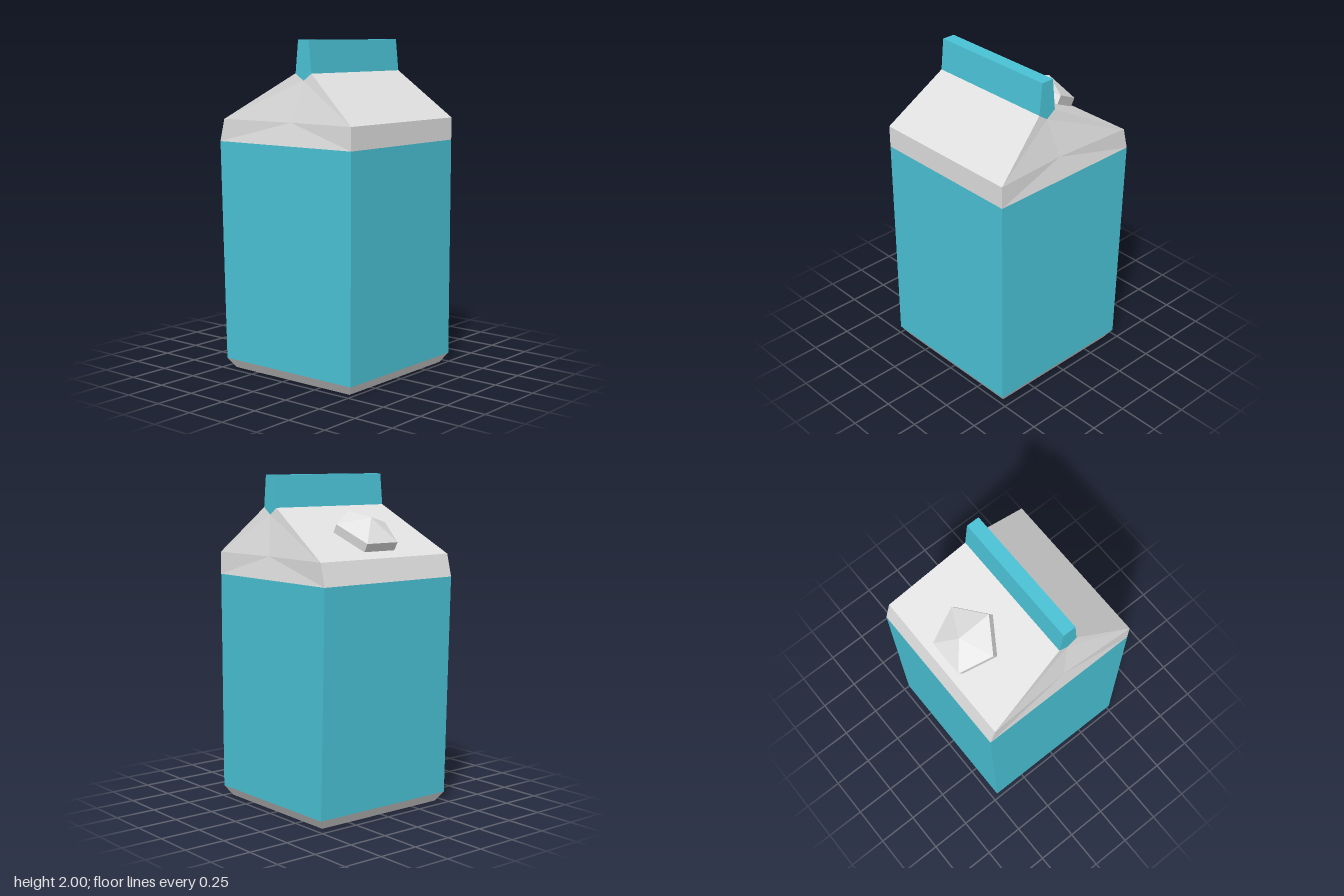
import * as THREE from 'three';

const white = new THREE.MeshStandardMaterial({ name: 'white card', color: 0xe0e0e0 });
const teal = new THREE.MeshStandardMaterial({ name: 'teal print', color: 0x4ac2d6 });

// Flat-faced mesh from convex polygons, corners counter-clockwise from outside
function facetMesh(name, material, faces) {
  const pos = [];
  for (const f of faces)
    for (let i = 1; i < f.length - 1; i++) pos.push(...f[0], ...f[i], ...f[i + 1]);
  const geo = new THREE.BufferGeometry();
  geo.setAttribute('position', new THREE.Float32BufferAttribute(pos, 3));
  geo.computeVertexNormals();
  const mesh = new THREE.Mesh(geo, material);
  mesh.name = name;
  return mesh;
}

// Rectangular cross-section and the four walls between two of them
const ring = (x, y, front, back) => [[x, y, front], [x, y, back], [-x, y, back], [-x, y, front]];
const walls = (a, b) => a.map((p, i) => [p, a[(i + 1) % 4], b[(i + 1) % 4], b[i]]);

// Adds the same faces on the opposite side
const mirrorX = (faces) =>
  faces.concat(faces.map((f) => f.map(([x, y, z]) => [-x, y, z]).reverse()));

export function createModel() {
  const carton = new THREE.Group();
  carton.name = 'carton';

  const foot = ring(0.445, 0, 0.465, -0.43);
  const low = ring(0.485, 0.06, 0.505, -0.47);
  const high = ring(0.485, 1.395, 0.505, -0.505);
  const eave = ring(0.485, 1.53, 0.505, -0.47);
  const neck = ring(0.41, 1.81, 0.155, 0.035);
  const crest = ring(0.41, 2, 0.135, 0.055);

  // Base with chamfered edge, then the printed walls
  carton.add(facetMesh('base', white, [...walls(foot, low), [...foot].reverse()]));
  carton.add(facetMesh('body', teal, walls(low, high)));

  // Shoulder band and roof; the gable ends fold slightly inwards
  const fold = [0.46, 1.53, 0.04];
  const tip = [0.41, 1.768, 0.095];
  const gable = mirrorX([
    [high[0], high[1], fold],
    [high[0], fold, eave[0]],
    [high[1], eave[1], fold],
    [eave[0], fold, tip],
    [eave[0], tip, neck[0]],
    [fold, eave[1], tip],
    [tip, eave[1], neck[1]],
  ]);
  const slopes = [1, 3].flatMap((i) => [walls(high, eave)[i], walls(eave, neck)[i]]);
  carton.add(facetMesh('roof', white, [...gable, ...slopes]));

  // Sealed fin along the ridge
  carton.add(facetMesh('topFin', teal, [
    ...walls(neck, crest), crest, ...mirrorX([[neck[0], tip, neck[1]]]),
  ]));

  // Five-sided screw cap on the back slope
  const cap = new THREE.Group();
  cap.name = 'cap';
  const rim = new THREE.Mesh(new THREE.CylinderGeometry(0.196, 0.196, 0.06, 5, 1, true), white);
  rim.name = 'capRim';
  rim.position.y = -0.03;
  const lid = new THREE.Mesh(new THREE.ConeGeometry(0.196, 0.076, 5, 1, true), white);
  lid.name = 'capLid';
  lid.position.y = 0.038;
  for (const part of [rim, lid]) {
    part.geometry = part.geometry.toNonIndexed();
    part.geometry.computeVertexNormals();
    cap.add(part);
  }
  cap.position.set(0, 1.69, -0.295);
  cap.rotation.x = -Math.atan2(0.28, 0.505);
  carton.add(cap);

  return carton;
}
